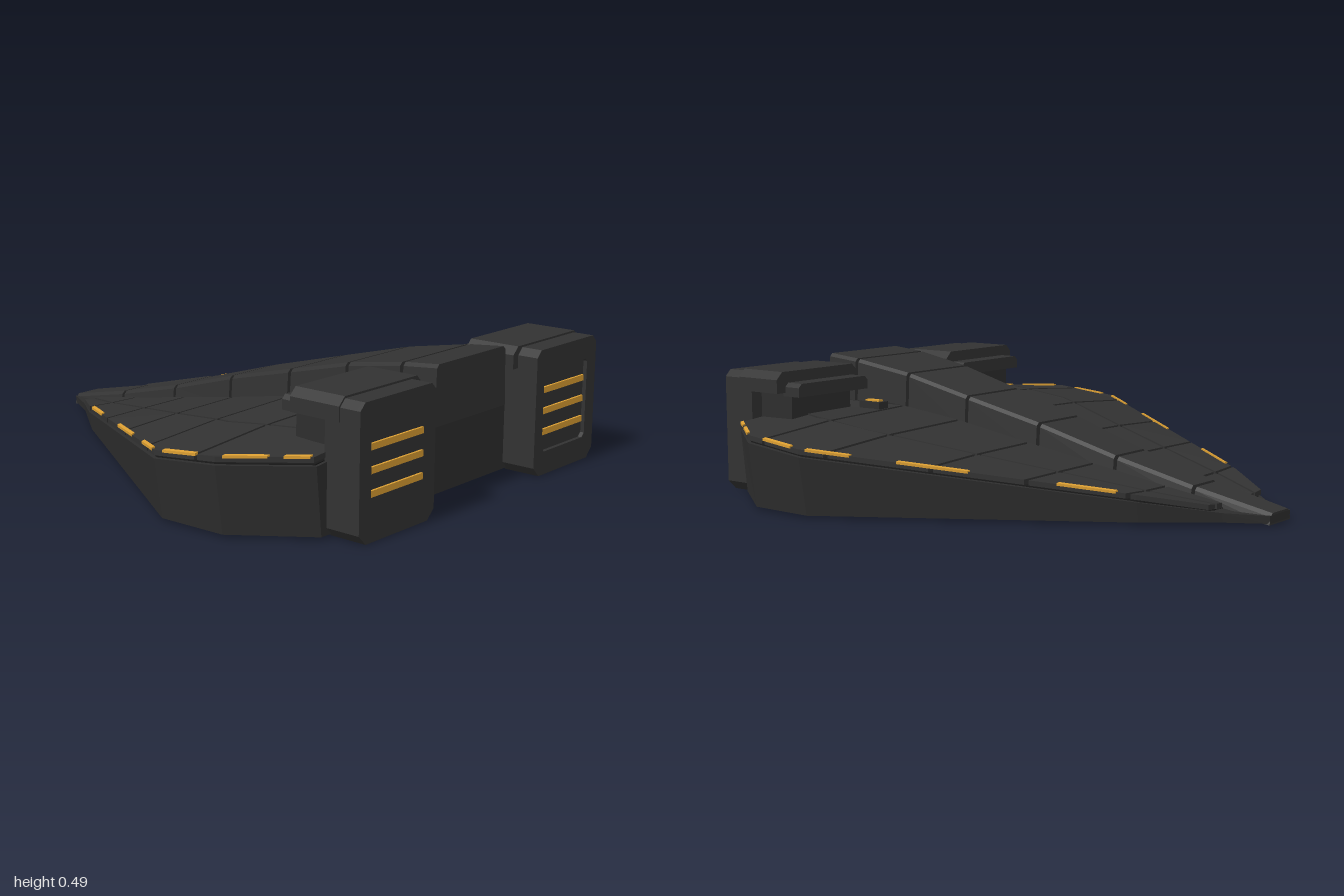
import * as THREE from 'three';

const mat = (name, color) => {
  const m = new THREE.MeshStandardMaterial({ color, flatShading: true });
  m.name = name;
  return m;
};

// Piecewise linear lookup through [z, value] knots
const curve = (knots) => (z) => {
  for (let i = 1; i < knots.length; i++) {
    const [z0, a] = knots[i - 1], [z1, b] = knots[i];
    if (z <= z1 || i === knots.length - 1) return a + (b - a) * (z - z0) / (z1 - z0);
  }
};

const outX = curve([[-1, 0.07], [-0.86, 0.15], [-0.63, 0.33], [0.36, 0.945], [0.62, 0.935], [0.87, 0.74]]);
const spineX = curve([[-1, 0.065], [-0.7, 0.08], [-0.4, 0.1], [-0.06, 0.13], [0.25, 0.16], [0.53, 0.18], [0.78, 0.2], [0.93, 0.2]]);
const spineY = curve([[-1, 0.045], [-0.7, 0.108], [-0.38, 0.188], [-0.05, 0.284], [0.26, 0.362], [0.54, 0.432], [0.79, 0.474], [0.93, 0.487]]);
const innerY = curve([[-1, 0.04], [-0.7, 0.085], [-0.4, 0.14], [0, 0.215], [0.3, 0.275], [0.6, 0.315], [0.87, 0.31]]);
const edgeY = curve([[-1, 0.04], [-0.63, 0.108], [0.36, 0.248], [0.62, 0.274], [0.87, 0.277]]);
const bedDrop = curve([[-1, 0.003], [-0.83, 0.026], [0.87, 0.03]]);

// Deck surface, curving down from the spine to the rim
const deckX = (t, z) => spineX(z) + t * (outX(z) - spineX(z));
const deckY = (t, z) => innerY(z) + (edgeY(z) - innerY(z)) * t * t;
const deckPoint = (t, z, side, dx = 0, dy = 0) => [side * (deckX(t, z) + dx), deckY(t, z) + dy, z];

// Closed solid through rings of equal length, capped at both ends
function loft(rings) {
  const pos = [];
  const n = rings[0].length;
  const tri = (...pts) => pts.forEach((p) => pos.push(...p));
  for (let i = 0; i + 1 < rings.length; i++) {
    for (let j = 0; j < n; j++) {
      const k = (j + 1) % n;
      const a = rings[i][j], b = rings[i][k], c = rings[i + 1][k], d = rings[i + 1][j];
      tri(a, b, c);
      tri(a, c, d);
    }
  }
  const first = rings[0], last = rings[rings.length - 1];
  for (let j = 1; j + 1 < n; j++) {
    tri(first[0], first[j + 1], first[j]);
    tri(last[0], last[j], last[j + 1]);
  }
  const g = new THREE.BufferGeometry();
  g.setAttribute('position', new THREE.Float32BufferAttribute(pos, 3));
  g.computeVertexNormals();
  return g;
}

// Plate under a polygon of top points, with any corner order
function slab(top, thickness, spread = 0) {
  let area = 0;
  top.forEach((p, i) => {
    const q = top[(i + 1) % top.length];
    area += p[0] * q[2] - q[0] * p[2];
  });
  const pts = area > 0 ? [...top].reverse() : top;
  const bottom = pts.map(([x, y, z]) => [x + Math.sign(x) * spread, y - thickness, z]);
  return loft([bottom, pts]);
}

// Rectangle outline with a separate chamfer for lower and upper corners
function chamfered(x0, x1, y0, y1, low, high, side, Type = THREE.Shape) {
  const pts = [[x0 + low, y0], [x1 - low, y0], [x1, y0 + low], [x1, y1 - high],
    [x1 - high, y1], [x0 + high, y1], [x0, y1 - high], [x0, y0 + low]];
  return new Type(pts.map(([x, y]) => new THREE.Vector2(side * x, y)));
}

const extrude = (shape, z0, z1) =>
  new THREE.ExtrudeGeometry(shape, { depth: z1 - z0, bevelEnabled: false }).translate(0, 0, z0);

export function createModel() {
  const model = new THREE.Group();
  model.name = 'wedgeShip';
  const plating = mat('charcoalPlating', 0x323232);
  const hullPaint = mat('darkHull', 0x2d2d2d);
  const seam = mat('blackSeam', 0x191919);
  const gold = mat('amberGlow', 0xdc9f32);
  const add = (name, geometry, material) => {
    const mesh = new THREE.Mesh(geometry, material);
    mesh.name = name;
    model.add(mesh);
    return mesh;
  };

  // Wedge hull with a crowned top
  const stations = [-1, -0.86, -0.63, -0.31, 0, 0.36, 0.62, 0.87];
  const half = (z) => [1, 0.55, 0].map((t) => [deckX(t, z), deckY(t, z) - bedDrop(z)]);
  add('hull', loft(stations.map((z) => {
    const h = half(z), b = outX(z) * 0.965;
    return [[-b, 0.01, z], [b, 0.01, z], ...h.map(([x, y]) => [x, y, z]),
      ...[...h].reverse().map(([x, y]) => [-x, y, z])];
  })), hullPaint);

  // Dark bed showing through the gaps between deck plates
  const bedStations = [-0.82, ...stations.slice(2, -1), 0.86];
  add('deckBed', loft(bedStations.map((z) => {
    const top = half(z).map(([x, y]) => [x - 0.015, y + 0.005]);
    const low = edgeY(z) - bedDrop(z) - 0.01;
    return [[-top[0][0], low, z], [top[0][0], low, z], ...top.map(([x, y]) => [x, y, z]),
      ...[...top].reverse().map(([x, y]) => [-x, y, z])];
  })), seam);

  // Raised spine of separate blocks
  const breaks = [-1, -0.7, -0.385, -0.06, 0.255, 0.535, 0.785, 0.93];
  for (let i = 0; i + 1 < breaks.length; i++) {
    const z0 = breaks[i] + (i ? 0.007 : 0);
    const z1 = breaks[i + 1] - (i < 6 ? 0.007 : 0);
    const ring = (z) => {
      const x = spineX(z), y = spineY(z), low = Math.min(innerY(z) - 0.035, y - 0.02);
      const c = Math.min(0.012, (y - low) / 3);
      return [[-x - 0.008, low, z], [x + 0.008, low, z], [x, y - c, z], [x - c, y, z], [-x + c, y, z], [-x, y - c, z]];
    };
    add('spineBlock', loft([ring(z0), ring(z1)]), plating);
  }

  const rows = [-0.83, -0.605, -0.31, -0.03, 0.28, 0.54, 0.87];
  const glows = [[-0.57, -0.4], [-0.14, 0.07], [0.21, 0.34], [0.4, 0.54], [0.64, 0.75], [0.79, 0.855]];
  for (const side of [1, -1]) {
    // Deck plates, two columns on each side
    for (let i = 0; i + 1 < rows.length; i++) {
      const z0 = rows[i] + 0.007, z1 = rows[i + 1] - 0.007;
      const knots = [-0.63, 0.36, 0.62].filter((z) => z > z0 && z < z1);
      const zs = [z0, ...knots, z1];
      const back = [...zs].reverse();
      add('innerDeckPlate', slab([
        ...zs.map((z) => deckPoint(0.55, z, side, -0.007)),
        ...back.map((z) => deckPoint(0, z, side, 0.018)),
      ], 0.02), plating);
      add('outerDeckPlate', slab([
        ...zs.map((z) => deckPoint(1, z, side)),
        ...back.map((z) => deckPoint(0.55, z, side, 0.007)),
      ], 0.018), plating);
    }

    // Glowing strips along the rim
    for (const [z0, z1] of glows) {
      add('rimGlow', slab([
        deckPoint(1, z0, side, 0.003, 0.004), deckPoint(1, z1, side, 0.003, 0.004),
        deckPoint(1, z1, side, -0.012, 0.006), deckPoint(1, z0, side, -0.012, 0.006),
      ], 0.009), gold);
    }

    // Small deck lamp
    const lampBase = new THREE.BoxGeometry(0.05, 0.04, 0.1).translate(side * 0.305, 0.312, 0.6);
    add('lampBase', lampBase, hullPaint);
    add('lamp', new THREE.BoxGeometry(0.026, 0.008, 0.066).translate(side * 0.305, 0.334, 0.597), gold);

    // Engine block with a framed exhaust
    add('engineBody', extrude(chamfered(0.298, 0.69, 0, 0.46, 0.035, 0.025, side), 0.86, 0.985), plating);
    const frame = chamfered(0.298, 0.69, 0, 0.46, 0.035, 0.025, side);
    frame.holes.push(chamfered(0.347, 0.632, 0.085, 0.38, 0.015, 0.01, side, THREE.Path));
    add('exhaustFrame', extrude(frame, 0.985, 1), plating);
    for (const y of [0.155, 0.232, 0.309]) {
      add('exhaustGlow', new THREE.BoxGeometry(0.27, 0.022, 0.009).translate(side * 0.488, y, 0.989), gold);
    }

    // Engine cowl, stepped toward the bow
    add('engineCowl', extrude(chamfered(0.268, 0.695, 0.388, 0.467, 0, 0.028, side), 0.72, 0.92), plating);
    add('cowlStep', extrude(chamfered(0.285, 0.652, 0.375, 0.425, 0, 0.015, side), 0.65, 0.73), plating);
    add('enginePylon', extrude(chamfered(0.33, 0.64, 0.24, 0.4, 0, 0, side), 0.7, 0.87), hullPaint);
  }
  return model;
}
